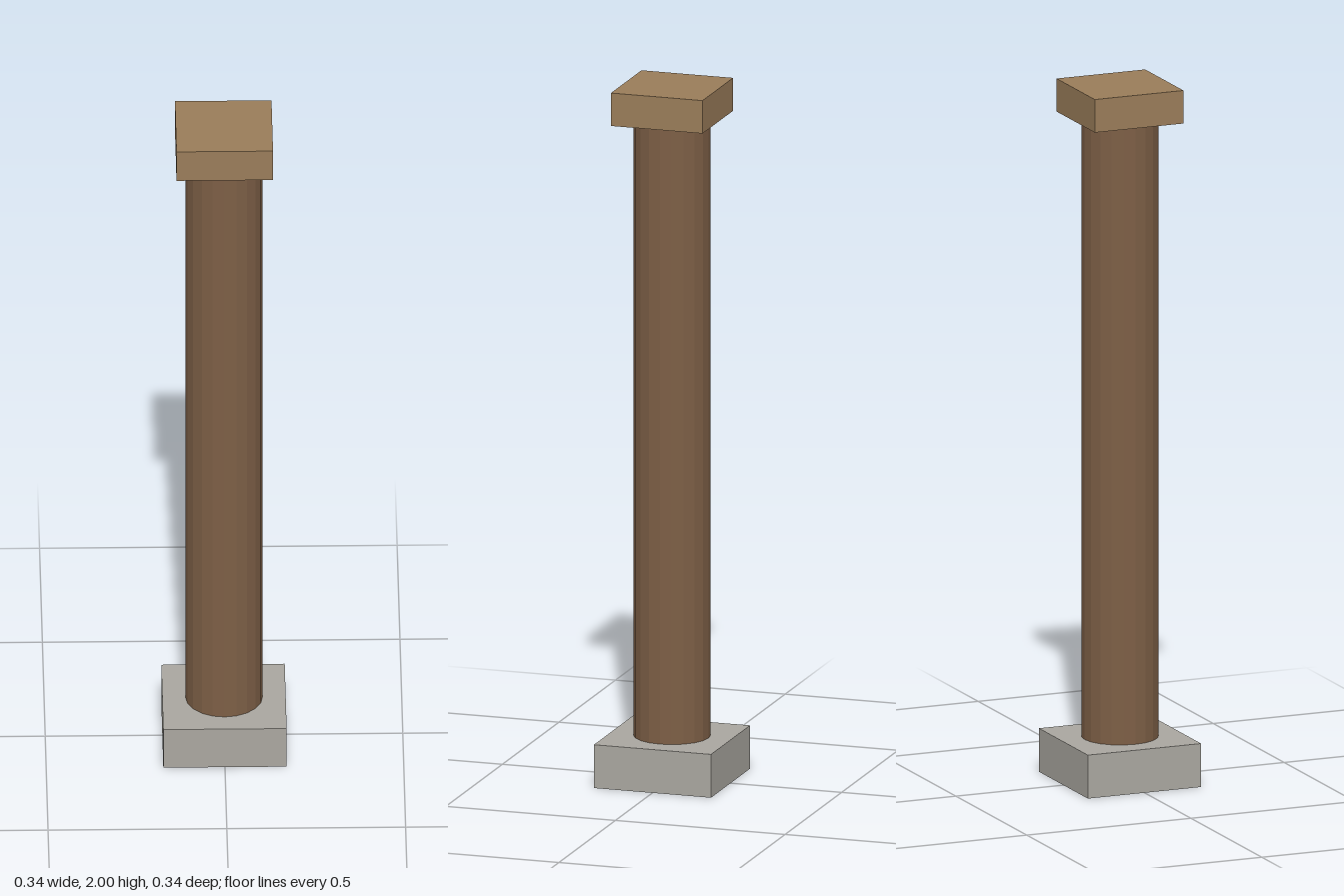
import * as THREE from 'three';

export function createModel() {
  const group = new THREE.Group();
  group.name = 'column';

  // Adds one stacked part standing between two heights
  const addPart = (name, geometry, bottom, top, color) => {
    const material = new THREE.MeshStandardMaterial({ color, flatShading: true });
    const mesh = new THREE.Mesh(geometry, material);
    mesh.name = name;
    mesh.position.y = (bottom + top) / 2;
    group.add(mesh);
  };

  const baseTop = 0.125;
  const shaftTop = 1.905;
  const height = 2;

  // Square stone footing
  addPart('base', new THREE.BoxGeometry(0.345, baseTop, 0.345), 0, baseTop, 0xaaa7a0);

  // Round wooden post
  addPart('shaft', new THREE.CylinderGeometry(0.108, 0.108, shaftTop - baseTop, 20), baseTop, shaftTop, 0x7d5f46);

  // Square wooden capital
  addPart('capital', new THREE.BoxGeometry(0.27, height - shaftTop, 0.27), shaftTop, height, 0x9a7d5a);

  return group;
}
